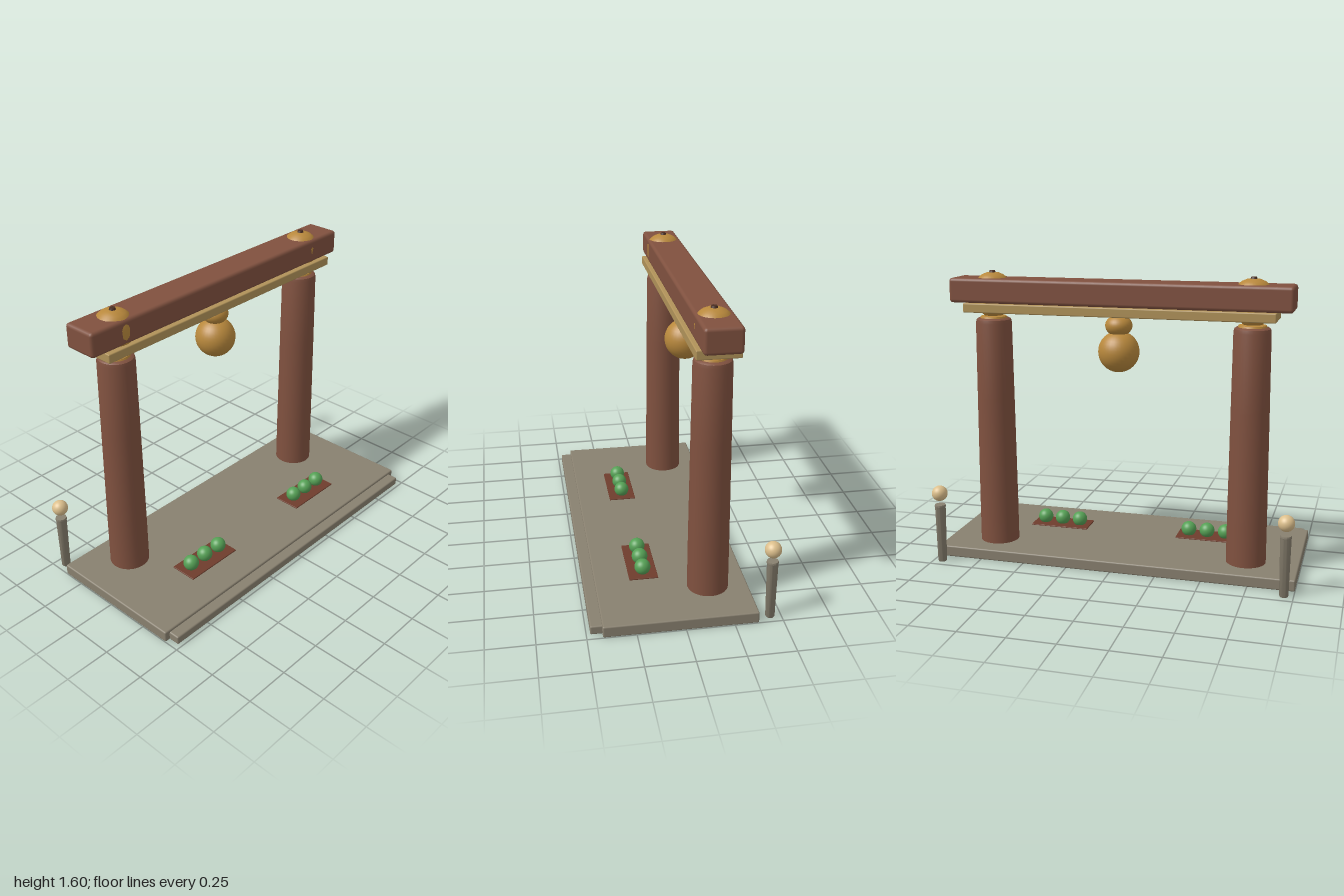
import * as THREE from 'three';
import { RoundedBoxGeometry } from 'three/addons/geometries/RoundedBoxGeometry.js';
import { toCreasedNormals } from 'three/addons/utils/BufferGeometryUtils.js';

const material = (color) => new THREE.MeshStandardMaterial({ color });

export function createModel() {
  const model = new THREE.Group();
  const wood = material(0x80513f);
  const tray = material(0x6e3c2c);
  const gold = material(0xb8883c);
  const plank = material(0xb09259);
  const stone = material(0x88806f);
  const cream = material(0xdcbf8c);
  const green = material(0x55a055);
  const dark = material(0x4a2e22);

  const add = (name, geometry, mat, x, y, z) => {
    const mesh = new THREE.Mesh(geometry, mat);
    mesh.name = name;
    mesh.position.set(x, y, z);
    model.add(mesh);
    return mesh;
  };
  // Box given by its low and high limits on each axis
  const box = (name, mat, [x0, x1], [y0, y1], [z0, z1], bevel) =>
    add(name, new RoundedBoxGeometry(x1 - x0, y1 - y0, z1 - z0, 2, bevel), mat,
      (x0 + x1) / 2, (y0 + y1) / 2, (z0 + z1) / 2);
  const ball = (name, mat, r, x, y, z) =>
    add(name, new THREE.SphereGeometry(r, 32, 20), mat, x, y, z);
  // Turned part from [radius, height] pairs, bottom to top
  const turned = (name, mat, points, x, z) => {
    const lathe = new THREE.LatheGeometry(points.map(([r, y]) => new THREE.Vector2(r, y)), 32);
    return add(name, toCreasedNormals(lathe, 0.6), mat, x, 0, z);
  };

  const gateZ = -0.165;

  // Stone base with a lower front step
  box('platform', stone, [-1, 1], [0, 0.062], [-0.375, 0.42], 0.008);
  box('frontStep', stone, [-0.97, 0.965], [0, 0.048], [0.38, 0.48], 0.008);

  // Crossbeam and the plank beneath it
  box('crossbeam', wood, [-0.93, 0.93], [1.427, 1.56], [-0.265, -0.073], 0.018);
  box('crossbeamPlank', plank, [-0.845, 0.845], [1.377, 1.427], [-0.278, -0.055], 0.006);

  for (const side of [-1, 1]) {
    const x = side * 0.713;

    // Tapered pillar with a softened top edge
    turned('pillar', wood, [
      [0, 0.05], [0.108, 0.05], [0.107, 0.3], [0.102, 0.9], [0.098, 1.315],
      [0.094, 1.333], [0.082, 1.341], [0, 1.341],
    ], x, gateZ);

    // Gilded finial running through the beam
    const finial = turned('finial', gold, [
      [0, 1.335], [0.075, 1.337], [0.07, 1.35], [0.05, 1.355], [0.072, 1.377], [0.085, 1.42],
      [0.092, 1.47], [0.093, 1.51], [0.09, 1.535], [0.081, 1.557], [0.06, 1.575],
      [0.035, 1.586], [0, 1.59],
    ], x, gateZ);
    finial.scale.x = finial.scale.z = side < 0 ? 1.03 : 1;
    add('finialKnob', new THREE.CylinderGeometry(0.014, 0.02, 0.016, 16), dark, x, 1.59, gateZ);

    // Small lantern post behind the base
    turned('lanternPost', stone, [
      [0, 0], [0.021, 0], [0.024, 0.006], [0.029, 0.315], [0.031, 0.32], [0.029, 0.33], [0, 0.33],
    ], side * 0.95, -0.442);
    ball('lanternBall', cream, 0.043, side * 0.95, 0.394, -0.442);

    // Tray with three round offerings
    const trayX = side * 0.44;
    box('offeringTray', tray, [trayX - 0.172, trayX + 0.172], [0.052, 0.068], [0.08, 0.235], 0.003);
    for (const i of [-1, 0, 1]) ball('offering', green, 0.043, trayX + i * 0.107, 0.1, 0.156);
  }

  // Hanging gourd bell
  ball('bellBody', gold, 0.111, 0, 1.182, gateZ);
  ball('bellNeck', gold, 0.073, 0, 1.322, gateZ).scale.y = 0.78;

  return model;
}
